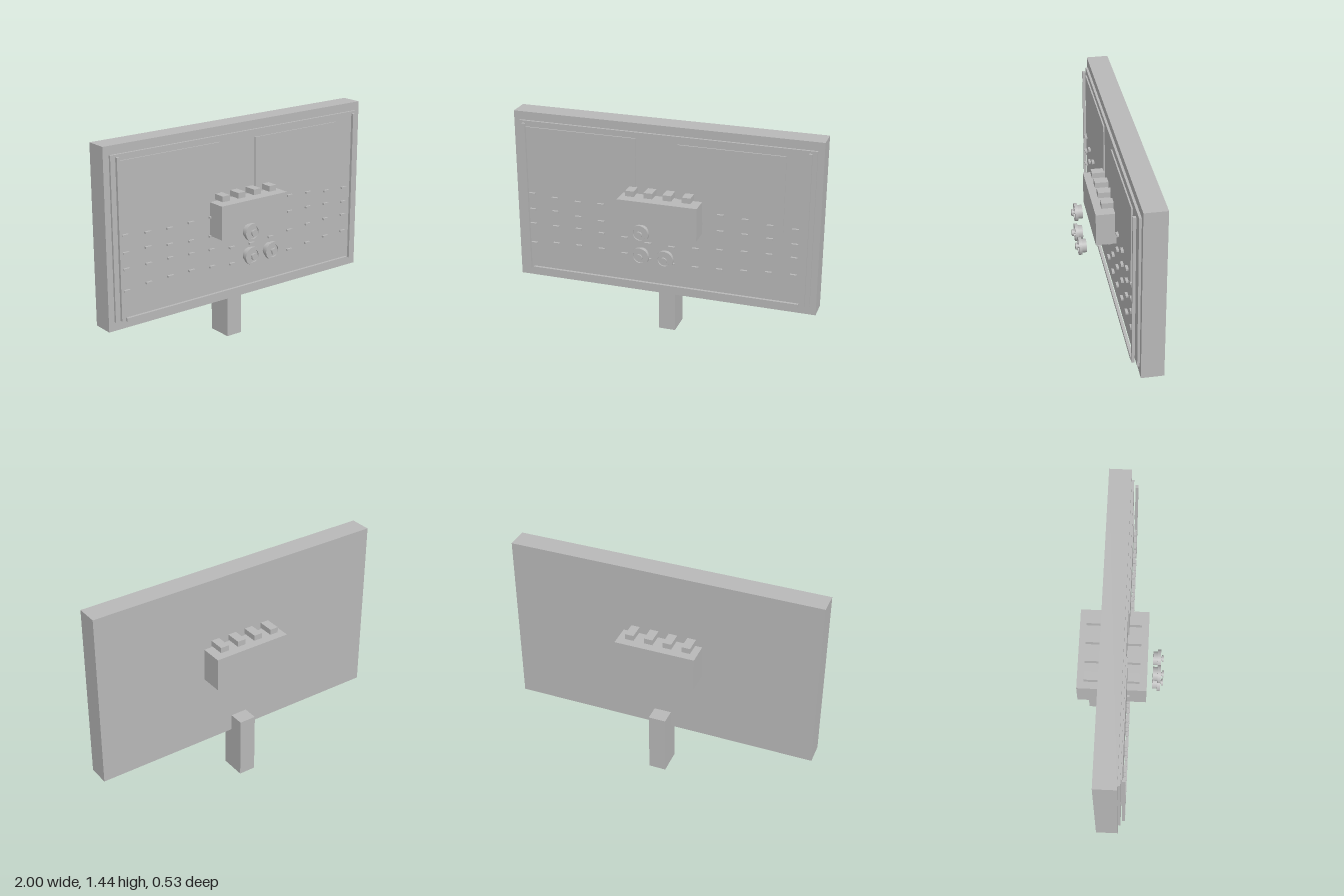
import * as THREE from 'three';

const grey = new THREE.MeshStandardMaterial({ color: 0xb8b8b8 });
grey.name = 'plain grey';

export function createModel() {
  const model = new THREE.Group();
  model.name = 'signBoard';

  const add = (parent, name, geometry) => {
    const mesh = new THREE.Mesh(geometry, grey);
    mesh.name = name;
    parent.add(mesh);
    return mesh;
  };
  // Box given by its limits on each axis
  const box = (parent, name, x0, x1, y0, y1, z0, z1) =>
    add(parent, name, new THREE.BoxGeometry(x1 - x0, y1 - y0, z1 - z0))
      .position.set((x0 + x1) / 2, (y0 + y1) / 2, (z0 + z1) / 2);
  // Cylinder along z
  const disc = (parent, name, r, z0, z1) =>
    add(parent, name, new THREE.CylinderGeometry(r, r, z1 - z0, 24).rotateX(Math.PI / 2))
      .position.z = (z0 + z1) / 2;

  // Board, face plate and post
  box(model, 'board', -1, 1, 0.3, 1.44, -0.12, 0.02);
  box(model, 'facePlate', -0.96, 0.96, 0.357, 1.385, 0.02, 0.035);
  box(model, 'post', -0.056, 0.056, 0, 0.41, -0.22, -0.05);

  // Raised edge strips
  for (const s of [-1, 1])
    box(model, 'sideStrip', s * 0.9225 - 0.0105, s * 0.9225 + 0.0105, 0.367, 1.373, 0.045, 0.063);
  box(model, 'bottomStrip', -0.895, 0.893, 0.356, 0.378, 0.045, 0.063);

  // Thin sheets on the face
  box(model, 'rightSheet', -0.915, -0.177, 0.742, 1.347, 0.035, 0.044);
  box(model, 'leftSheet', 0.097, 0.776, 0.844, 1.336, 0.035, 0.044);

  // Wavy rows of small bars
  const rows = [
    [0.897, 0.884, 0.876, 0.881, 0.886, 0.895, 0.905, 0.912, 0.908, 0.9, 0.881, 0.876],
    [0.787, 0.79, 0.774, 0.763, 0.761, 0.77, 0.785, 0.795, 0.8, 0.8, 0.793, 0.777],
    [0.686, 0.686, 0.688, 0.68, 0.672, 0.653, 0.648, 0.659, 0.672, 0.683, 0.688, 0.686],
    [0.549, 0.565, 0.57, 0.57, 0.56, 0.544, 0.533, 0.53, 0.538, 0.552, 0.565, 0.57],
  ];
  const bars = new THREE.Group();
  bars.name = 'smallBars';
  model.add(bars);
  for (const row of rows)
    row.forEach((y, i) => {
      const x = -0.885 + i * 0.158;
      box(bars, 'smallBar', x - 0.021, x + 0.021, y - 0.006, y + 0.006, 0.044, 0.06);
    });

  // Control box through the board, with four buttons on top
  box(model, 'controlBox', -0.261, 0.259, 0.763, 0.98, -0.265, 0.164);
  for (const x of [-0.192, -0.07, 0.053, 0.178])
    box(model, 'topButton', x - 0.028, x + 0.028, 0.99, 1.026, -0.223, 0.12);

  // Round knobs: body, rim with a recess, stem and cap
  const rim = new THREE.Shape().absarc(0, 0, 0.057, 0, Math.PI * 2);
  rim.holes.push(new THREE.Path().absarc(0, 0, 0.041, 0, Math.PI * 2, true));
  const rimGeometry = new THREE.ExtrudeGeometry(rim, { depth: 0.02, bevelEnabled: false, curveSegments: 24 });
  for (const [x, y] of [[-0.083, 0.801], [-0.083, 0.648], [0.077, 0.648]]) {
    const knob = new THREE.Group();
    knob.name = 'knob';
    knob.position.set(x, y, 0);
    disc(knob, 'knobBody', 0.044, 0.2, 0.24);
    add(knob, 'knobRim', rimGeometry).position.z = 0.23;
    disc(knob, 'knobStem', 0.012, 0.24, 0.258);
    disc(knob, 'knobCap', 0.022, 0.257, 0.268);
    model.add(knob);
  }
  return model;
}
